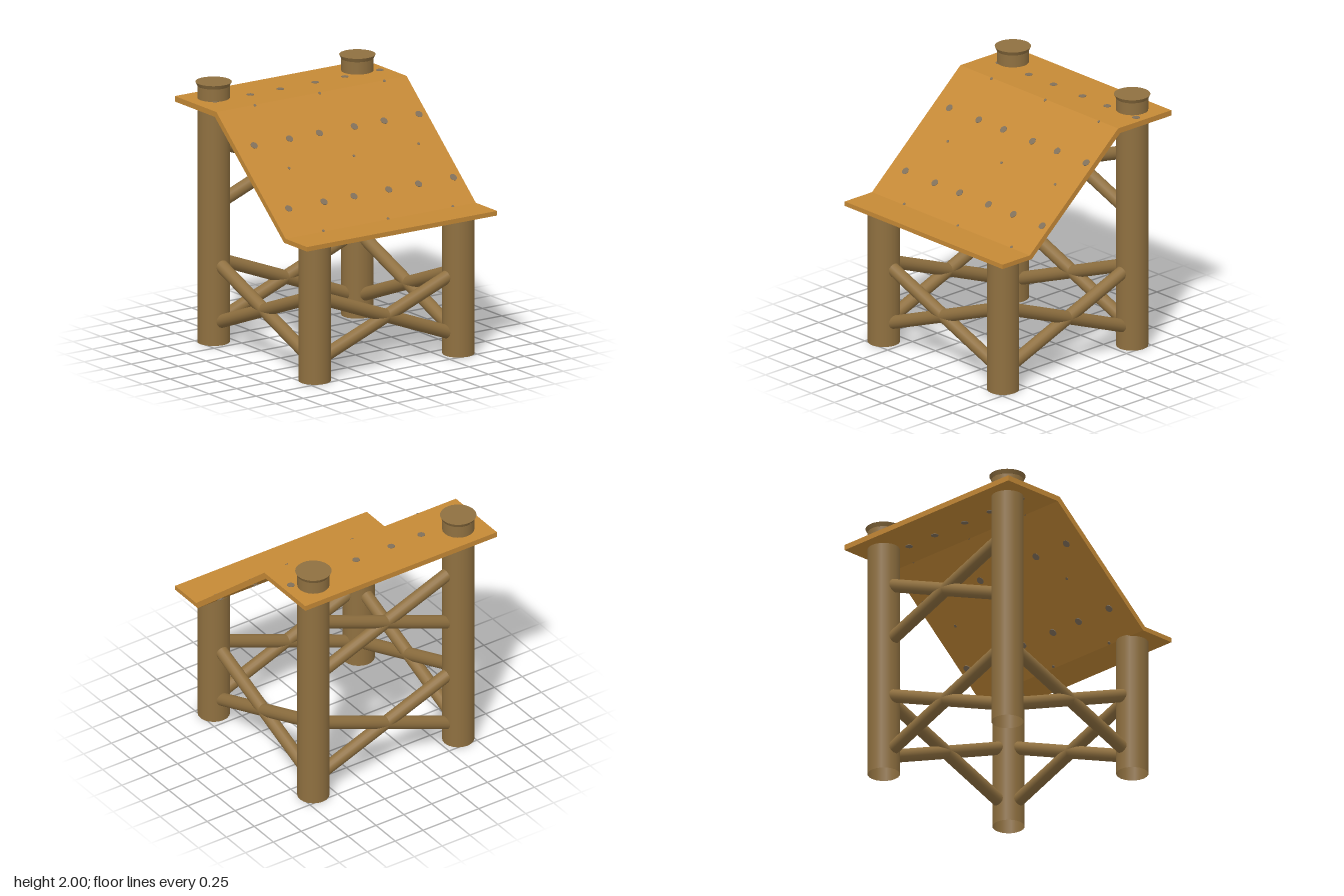
import * as THREE from 'three';

const postWood = new THREE.MeshStandardMaterial({ color: 0x8f7040, side: THREE.DoubleSide });
postWood.name = 'postWood';
const roofWood = new THREE.MeshStandardMaterial({ color: 0xc58936 });
roofWood.name = 'roofWood';
const nailGrey = new THREE.MeshStandardMaterial({ color: 0x80705a });
nailGrey.name = 'nailGrey';

const UP = new THREE.Vector3(0, 1, 0);
const P = 0.65; // post distance from the centre
const POST_R = 0.12;

export function createModel() {
  const group = new THREE.Group();

  const add = (name, geometry, material) => {
    const mesh = new THREE.Mesh(geometry, material);
    mesh.name = name;
    group.add(mesh);
    return mesh;
  };

  // round bar between two points
  const bar = (name, a, b, radius, sides, material) => {
    const dir = b.clone().sub(a);
    const mesh = add(name, new THREE.CylinderGeometry(radius, radius, dir.length(), sides), material);
    mesh.position.copy(a).add(b).multiplyScalar(0.5);
    mesh.quaternion.setFromUnitVectors(UP, dir.normalize());
  };

  // posts: hollow at the foot, the back pair pass through the roof and carry flared caps
  for (const x of [-P, P]) {
    const front = add('frontPost', new THREE.CylinderGeometry(POST_R, POST_R, 1.08, 20, 1, true), postWood);
    front.position.set(x, 0.54, P);
    const back = add('backPost', new THREE.CylinderGeometry(POST_R, POST_R, 1.97, 20, 1, true), postWood);
    back.position.set(x, 0.985, -P);
    const cap = add('postCap', new THREE.CylinderGeometry(0.135, POST_R, 0.03, 32), postWood);
    cap.position.set(x, 1.985, -P);
  }

  // crossed braces on a side of the frame, turned about y
  const crossBrace = (name, turn, y) => {
    for (const s of [-1, 1]) {
      const a = new THREE.Vector3(-0.56, y - s * 0.217, P).applyAxisAngle(UP, turn);
      const b = new THREE.Vector3(0.56, y + s * 0.217, P).applyAxisAngle(UP, turn);
      bar(name, a, b, 0.05, 16, postWood);
    }
  };
  crossBrace('frontBrace', 0, 0.393);
  crossBrace('leftBrace', Math.PI / 2, 0.393);
  crossBrace('backBrace', Math.PI, 0.393);
  crossBrace('rightBrace', -Math.PI / 2, 0.393);
  crossBrace('upperBackBrace', Math.PI, 1.293);

  // folded roof board, profile given as (z, y)
  const profile = new THREE.Shape([
    [0.85, 1.105], [0.575, 1.105], [-0.315, 1.875], [-0.85, 1.875],
    [-0.85, 1.833], [-0.335, 1.833], [0.555, 1.07], [0.85, 1.07],
  ].map(([z, y]) => new THREE.Vector2(z, y)));
  const roof = new THREE.ExtrudeGeometry(profile, { depth: 1.72, bevelEnabled: false });
  roof.translate(0, 0, -0.86).rotateY(-Math.PI / 2);
  add('roof', roof, roofWood);

  // pegs pass through the board and show as flat spots on both faces
  const slopeNormal = new THREE.Vector3(0, 0.89, 0.77).normalize();
  const peg = (name, x, z, radius, sides) => {
    const flat = z < -0.315;
    const y = flat ? 1.875 : 1.105 + (0.575 - z) * 0.77 / 0.89;
    const n = flat ? UP : slopeNormal;
    const top = new THREE.Vector3(x, y, z).addScaledVector(n, 0.003);
    bar(name, top.clone().addScaledVector(n, -0.049), top, radius, sides, nailGrey);
  };
  for (const x of [-0.7, -0.38, -0.11, 0.205, 0.475, 0.79])
    for (const z of [-0.56, -0.057, 0.386]) peg('peg', x, z, 0.029, 10);
  for (const x of [-0.515, 0.07, 0.655])
    for (const z of [-0.31, 0.13, 0.57]) peg('smallPeg', x, z, 0.012, 6);

  return group;
}
